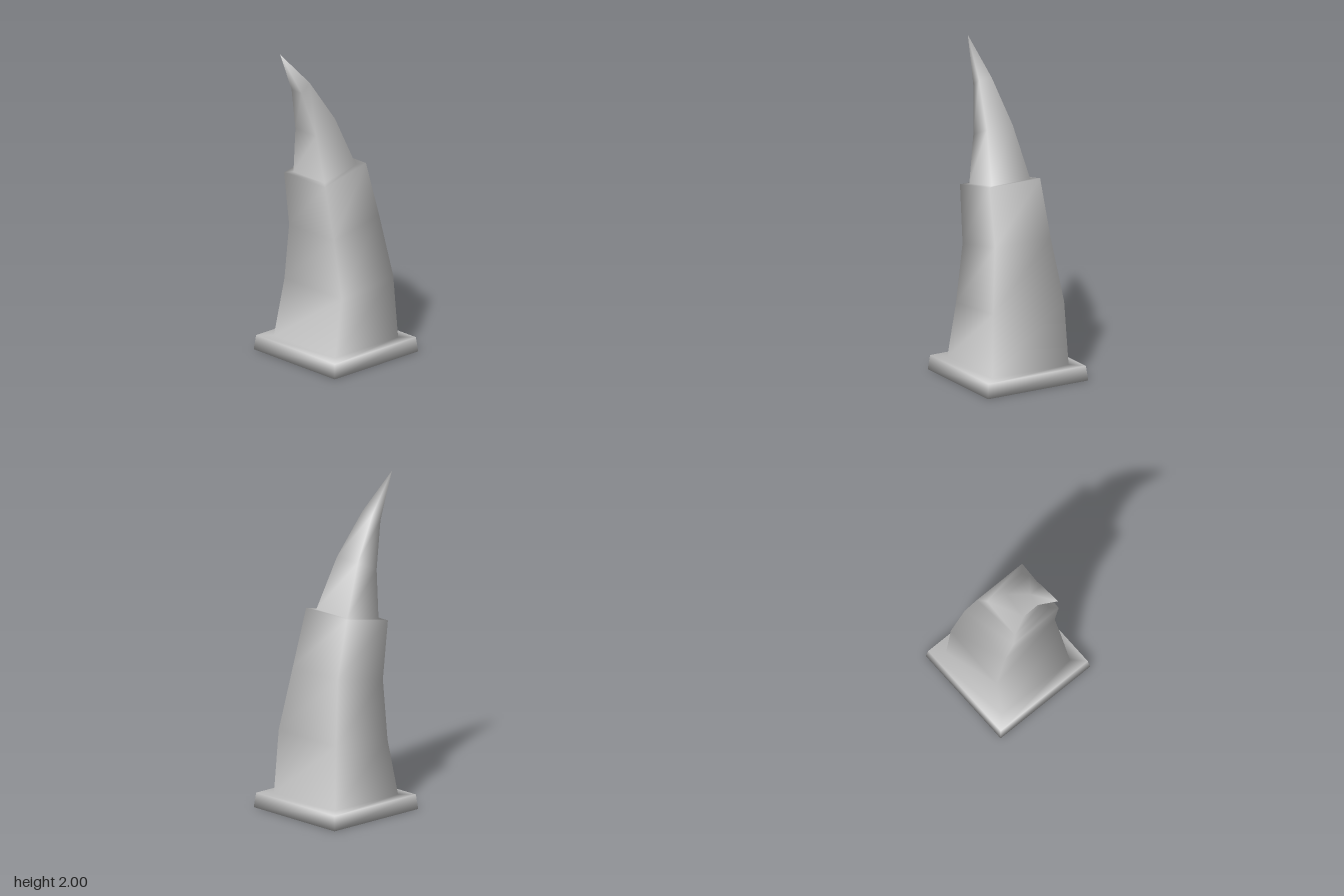
import * as THREE from 'three';

// Square cross-sections from bottom to top:
// [x on right side, y there, x on left side, y there, half depth]
const sections = [
  // plinth
  [-0.285, 0, 0.4, 0, 0.35],
  [-0.275, 0.09, 0.39, 0.09, 0.34],
  // lower sleeve
  [-0.2, 0.09, 0.315, 0.09, 0.265],
  [-0.13, 0.44, 0.292, 0.48, 0.248],
  [-0.143, 0.8, 0.227, 0.87, 0.194],
  [-0.2, 1.15, 0.135, 1.22, 0.177],
  // curved spike
  [-0.164, 1.157, 0.092, 1.211, 0.134],
  [-0.19, 1.45, -0.035, 1.52, 0.09],
  [-0.265, 1.73, -0.2, 1.78, 0.044],
];
const tip = [-0.4, 2, 0];

// Continuous smooth skin over the sections, closed at the bottom and the tip
function loft(rings, apex) {
  const positions = [];
  const index = [0, 2, 1, 0, 3, 2];
  for (const [x0, y0, x1, y1, d] of rings) {
    positions.push(x0, y0, d, x1, y1, d, x1, y1, -d, x0, y0, -d);
  }
  const last = rings.length - 1;
  const apexIndex = rings.length * 4;
  positions.push(...apex);
  for (let r = 0; r <= last; r++) {
    for (let i = 0; i < 4; i++) {
      const a = r * 4 + i;
      const b = r * 4 + ((i + 1) % 4);
      if (r === last) index.push(a, b, apexIndex);
      else index.push(a, b, b + 4, a, b + 4, a + 4);
    }
  }
  const geometry = new THREE.BufferGeometry();
  geometry.setAttribute('position', new THREE.Float32BufferAttribute(positions, 3));
  geometry.setIndex(index);
  geometry.computeVertexNormals();
  return geometry;
}

export function createModel() {
  const model = new THREE.Group();
  model.name = 'curvedHorn';
  const grey = new THREE.MeshStandardMaterial({ color: 0xcccccc });
  grey.name = 'light grey';
  const horn = new THREE.Mesh(loft(sections, tip), grey);
  horn.name = 'hornOnPlinth';
  model.add(horn);
  return model;
}
